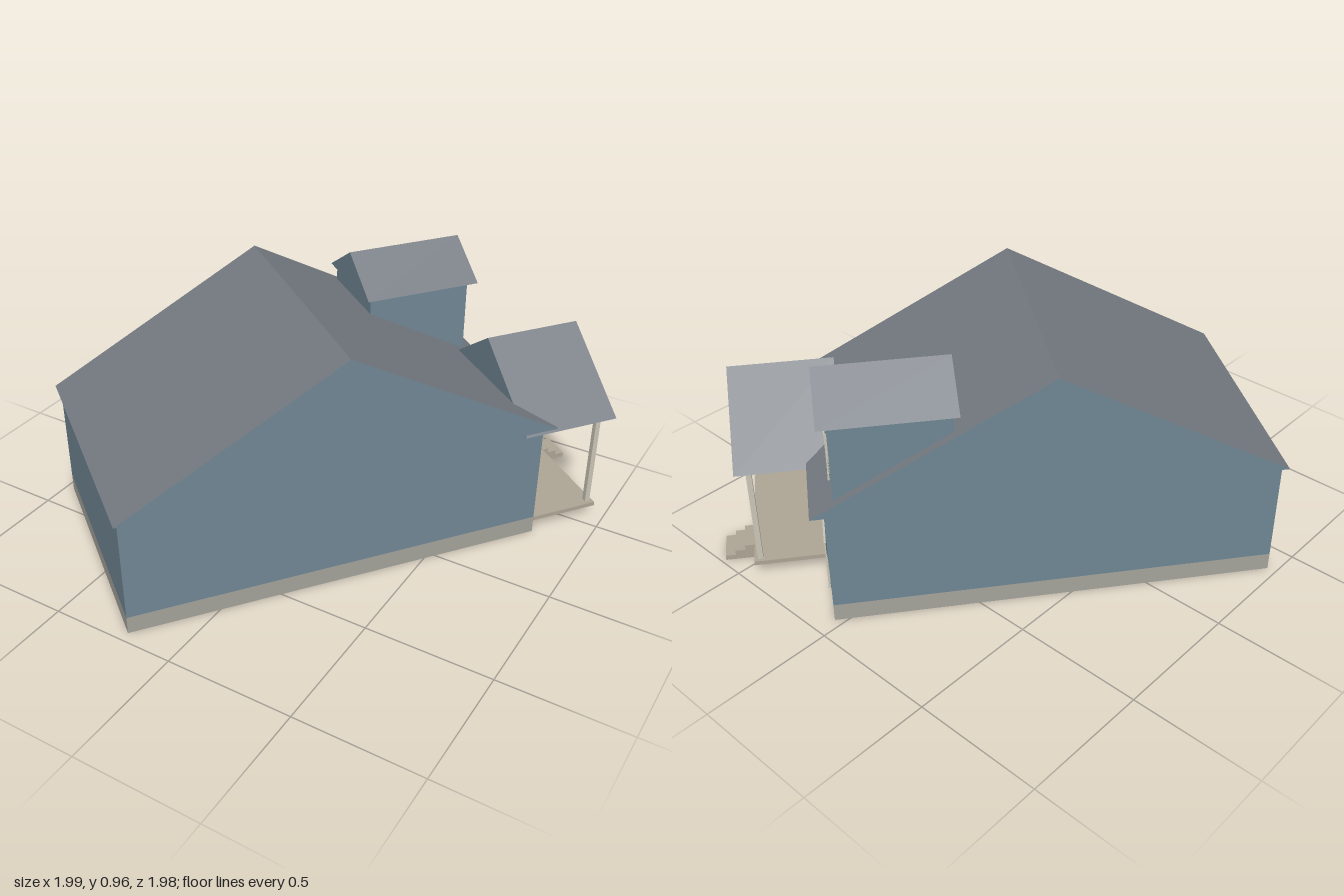
import * as THREE from 'three';

const mat = (color) => new THREE.MeshStandardMaterial({ color });
const WALL = mat(0x6f8693), ROOF = mat(0x747a81), STONE = mat(0xa3a29a), DECK = mat(0xada594);
const TRIM = mat(0xc9c4b6), GLASS = mat(0x526b69), DOOR = mat(0x9a5c39), GROOVE = mat(0x4a5a64);

// Box given by its limits on each axis
function box(parent, name, material, x0, x1, y0, y1, z0, z1) {
  const m = new THREE.Mesh(new THREE.BoxGeometry(x1 - x0, y1 - y0, z1 - z0), material);
  m.position.set((x0 + x1) / 2, (y0 + y1) / 2, (z0 + z1) / 2);
  m.name = name;
  parent.add(m);
  return m;
}

// Solid gable roof with its ridge along z; gable ends take the wall colour
function gableRoof(parent, name, width, height, depth, x, y, z) {
  const s = new THREE.Shape([
    new THREE.Vector2(-width / 2, 0), new THREE.Vector2(width / 2, 0), new THREE.Vector2(0, height),
  ]);
  const g = new THREE.ExtrudeGeometry(s, { depth, bevelEnabled: false });
  g.translate(0, 0, -depth / 2);
  const m = new THREE.Mesh(g, [WALL, ROOF]);
  m.position.set(x, y, z);
  m.name = name;
  parent.add(m);
  return m;
}

// Framed window with three panes on a wall facing +z
function windowUnit(parent, name, x0, x1, y0, y1, z) {
  const g = new THREE.Group();
  g.name = name;
  const t = 0.008;
  box(g, 'glass', GLASS, x0, x1, y0, y1, z - 0.005, z + 0.004);
  box(g, 'sill', TRIM, x0, x1, y0, y0 + t, z, z + 0.01);
  box(g, 'head', TRIM, x0, x1, y1 - t, y1, z, z + 0.01);
  for (let i = 0; i <= 3; i++) {
    const x = x0 + (x1 - x0 - t) * i / 3;
    box(g, 'mullion', TRIM, x, x + t, y0, y1, z, z + 0.009);
  }
  parent.add(g);
}

export function createModel() {
  const model = new THREE.Group();
  const house = new THREE.Group();
  house.name = 'house';
  house.rotation.y = Math.PI - 0.655; // the entrance faces the back right
  model.add(house);

  // Main body
  const L = -0.419, R = 0.534, B = -0.889, F = 0.751;
  box(house, 'foundation', STONE, L, R, 0, 0.07, B, F);
  box(house, 'walls', WALL, L, R, 0.07, 0.485, B, F);
  gableRoof(house, 'mainRoof', 1.705, 0.47, 1.007, 0.062, 0.485, -0.052).rotation.y = Math.PI / 2;

  // Dormer
  box(house, 'dormerWalls', WALL, 0.185, 0.53, 0.5, 0.83, 0.293, 0.715);
  gableRoof(house, 'dormerRoof', 0.39, 0.13, 0.475, 0.355, 0.83, 0.512);
  windowUnit(house, 'dormerWindow', 0.227, 0.506, 0.6, 0.79, 0.715);

  // Porch
  gableRoof(house, 'porchRoof', 0.688, 0.255, 0.393, -0.098, 0.472, 0.862);
  box(house, 'porchDeck', DECK, -0.42, 0.24, 0.053, 0.07, F, 1.03);
  for (const x of [-0.393, 0.216]) {
    box(house, 'porchColumn', TRIM, x - 0.01, x + 0.01, 0.07, 0.472, 0.997, 1.017);
  }
  for (let i = 0; i < 3; i++) {
    box(house, 'step', DECK, 0, 0.124, 0, 0.06 - i * 0.02, 1.03 + i * 0.0385, 1.0685 + i * 0.0385);
  }

  // Entrance wall: windows and door
  windowUnit(house, 'largeWindow', -0.378, -0.075, 0.13, 0.365, F);
  windowUnit(house, 'sideWindow', 0.237, 0.517, 0.14, 0.345, F);
  box(house, 'door', DOOR, 0.015, 0.135, 0.07, 0.325, F, F + 0.008);
  box(house, 'doorHead', TRIM, 0.007, 0.143, 0.325, 0.333, F, F + 0.01);
  for (const x of [0.007, 0.135]) box(house, 'doorJamb', TRIM, x, x + 0.008, 0.07, 0.325, F, F + 0.01);

  // Staggered siding grooves under the porch, kept behind the openings
  for (let row = 0; row < 13; row++) {
    const y = 0.09 + row * 0.028;
    for (let i = 0; i < 5; i++) {
      const x0 = -0.395 + i * 0.125 + (row % 3) * 0.025;
      box(house, 'sidingGroove', GROOVE, x0, Math.min(x0 + 0.09, 0.19), y, y + 0.006, F - 0.002, F + 0.002);
    }
  }
  return model;
}
